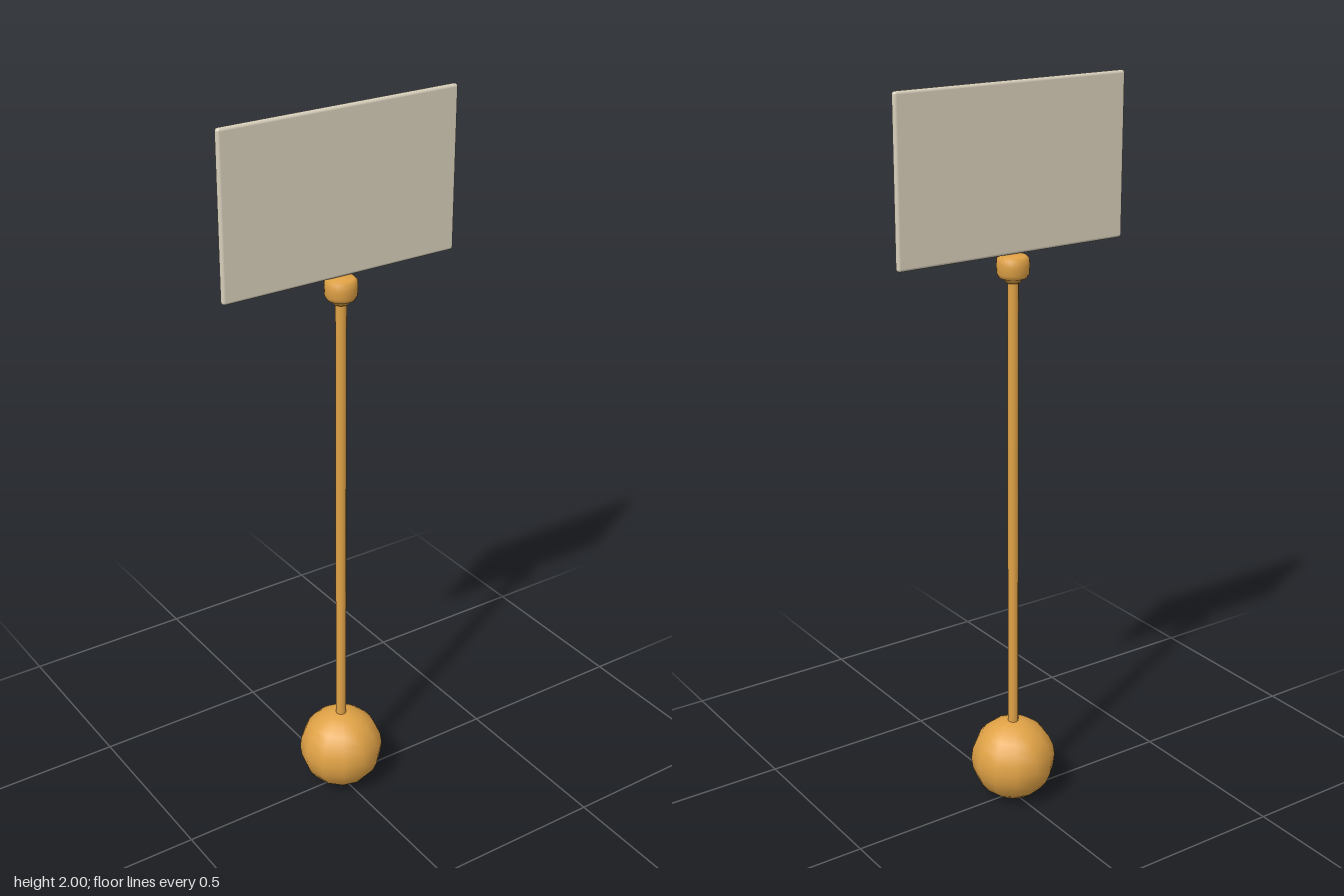
import * as THREE from 'three';
import { RoundedBoxGeometry } from 'three/addons/geometries/RoundedBoxGeometry.js';

export function createModel() {
  const model = new THREE.Group();
  model.name = 'signPost';

  const amber = new THREE.MeshStandardMaterial({ color: 0xe0a246 });
  amber.name = 'amber';
  const cream = new THREE.MeshStandardMaterial({ color: 0xd8cfbb });
  cream.name = 'cream';

  const add = (name, geometry, material, y) => {
    const mesh = new THREE.Mesh(geometry, material);
    mesh.name = name;
    mesh.position.y = y;
    model.add(mesh);
  };

  // Ball foot, twelve sides around
  add('ballBase', new THREE.SphereGeometry(0.118, 12, 12), amber, 0.12);

  // Slim pole from the ball to the collar
  add('pole', new THREE.CylinderGeometry(0.0145, 0.0145, 1.3, 12), amber, 0.86);

  // Turned collar under the panel
  const profile = [
    [0, 0], [0.02, 0], [0.023, 0.008], [0.036, 0.013], [0.042, 0.024],
    [0.043, 0.045], [0.042, 0.062], [0.034, 0.07], [0, 0.072],
  ].map(([r, y]) => new THREE.Vector2(r, y));
  add('collar', new THREE.LatheGeometry(profile, 24), amber, 1.495);

  // Thin panel with rounded rims
  add('panel', new RoundedBoxGeometry(0.684, 0.432, 0.017, 3, 0.008), cream, 1.784);

  return model;
}
